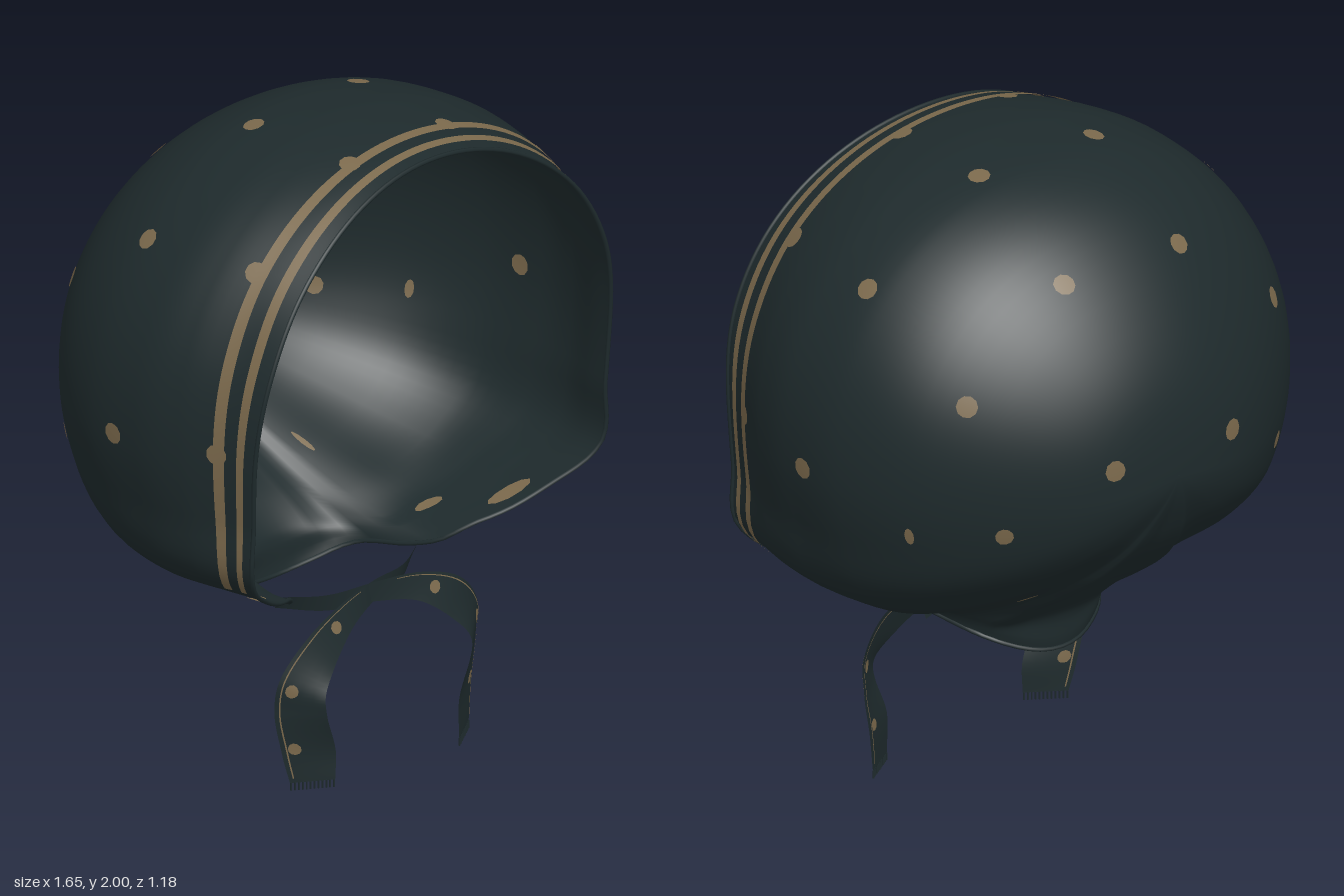
import * as THREE from 'three';

const { DoubleSide } = THREE;
const { lerp, clamp, degToRad, radToDeg, smoothstep } = THREE.MathUtils;
const cloth = new THREE.MeshStandardMaterial({ color: 0x1e2a2c, side: DoubleSide });
cloth.name = 'dark green cloth';
const tan = new THREE.MeshStandardMaterial({ color: 0x7b694c, side: DoubleSide });
tan.name = 'tan print';

const AXIS_Y = 1.2;

// Smooth interpolation through keyed values
function smooth(keys, vals, x, flatEnds = false) {
  const n = keys.length;
  let i = 0;
  while (i < n - 2 && x > keys[i + 1]) i++;
  const slope = (k) => {
    if (flatEnds && (k === 0 || k === n - 1)) return 0;
    const a = Math.max(k - 1, 0), b = Math.min(k + 1, n - 1);
    return (vals[b] - vals[a]) / (keys[b] - keys[a]);
  };
  const h = keys[i + 1] - keys[i], t = (x - keys[i]) / h;
  const t2 = t * t, t3 = t2 * t;
  return (2 * t3 - 3 * t2 + 1) * vals[i] + (t3 - 2 * t2 + t) * h * slope(i)
    + (3 * t2 - 2 * t3) * vals[i + 1] + (t3 - t2) * h * slope(i + 1);
}

// Front half of each bonnet meridian: angle, radii, depths
const MERIDIANS = [
  [-90, [.73, .70, .64, .60, .55], [-.06, -.065, -.07, -.09, -.14]],
  [-80, [.73, .70, .65, .61, .56], [-.03, -.04, -.05, -.08, -.135]],
  [-71, [.70, .685, .665, .635, .585], [.06, .04, .01, -.04, -.11]],
  [-66, [.685, .68, .67, .655, .61], [.25, .20, .14, .07, -.03]],
  [-56, [.68, .685, .69, .685, .64], [.36, .29, .20, .09, -.02]],
  [-40, [.738, .745, .755, .76, .73], [.46, .38, .27, .13, -.02]],
  [-27, [.787, .797, .82, .825, .79], [.54, .46, .33, .18, -.02]],
  [-14, [.73, .75, .795, .81, .79], [.55, .465, .33, .18, -.025]],
  [0, [.715, .74, .795, .82, .80], [.56, .47, .33, .18, -.03]],
  [24, [.735, .765, .82, .845, .815], [.585, .475, .33, .18, -.03]],
  [45, [.75, .785, .825, .84, .81], [.58, .47, .33, .18, -.03]],
  [90, [.75, .775, .795, .80, .77], [.545, .45, .32, .17, -.05]],
];
// Back half: every meridian rounds in to the shared pole, more gradually at the nape
const POLE_Z = -.585;
for (const [angle, radii, depths] of MERIDIANS) {
  const k = clamp((angle + 90) / 75, 0, 1), r = radii[4], z = depths[4];
  radii.push(r * .865, r * lerp(.65, .617, k), r * lerp(.36, .325, k), 0);
  for (const f of [lerp(.2, .377, k), lerp(.54, .715, k), lerp(.83, .935, k), 1]) depths.push(lerp(z, POLE_Z, f));
  radii.push(-radii[7]);
  depths.push(depths[7]);
}
const ANGLES = MERIDIANS.map((m) => m[0]);
const STEPS = MERIDIANS[0][1].map((_, i) => i);

// u runs round the rim from the nape, v from rim (0) to back pole (8)
function bonnet(u, v) {
  const th = degToRad(270 - 360 * u);
  const phi = radToDeg(Math.asin(clamp(Math.sin(th), -1, 1)));
  let r = smooth(ANGLES, MERIDIANS.map((m) => smooth(STEPS, m[1], v)), phi, true);
  const z = smooth(ANGLES, MERIDIANS.map((m) => smooth(STEPS, m[2], v)), phi, true);
  // Gathers above the nape
  const gather = smoothstep(-Math.sin(th), .65, .95) * Math.max(0, 1 - v / 6);
  r += .006 * gather * Math.cos(16 * th);
  return new THREE.Vector3(r * Math.cos(th), AXIS_Y + r * Math.sin(th), z);
}

function derivatives(surf, u, v) {
  const e = 1e-3;
  const du = surf(u + e, v).sub(surf(u - e, v)).divideScalar(2 * e);
  const dv = surf(u, v + e).sub(surf(u, v - e)).divideScalar(2 * e);
  return { du, dv, normal: new THREE.Vector3().crossVectors(du, dv).normalize() };
}

function build(name, material, pos, nor, idx) {
  const g = new THREE.BufferGeometry();
  g.setAttribute('position', new THREE.Float32BufferAttribute(pos, 3));
  g.setAttribute('normal', new THREE.Float32BufferAttribute(nor, 3));
  g.setIndex(idx);
  const mesh = new THREE.Mesh(g, material);
  mesh.name = name;
  return mesh;
}

// Rectangular piece of a surface, lifted along its normal
function patch(name, material, surf, [u0, u1, nu], [v0, v1, nv], lift = 0) {
  const pos = [], nor = [], idx = [];
  for (let j = 0; j <= nv; j++) {
    for (let i = 0; i <= nu; i++) {
      const u = u0 + (u1 - u0) * i / nu, v = v0 + (v1 - v0) * j / nv;
      const { normal } = derivatives(surf, u, v);
      pos.push(...surf(u, v).addScaledVector(normal, lift));
      nor.push(...normal);
      if (i < nu && j < nv) {
        const a = j * (nu + 1) + i, c = a + nu + 1;
        idx.push(a, a + 1, c + 1, a, c + 1, c);
      }
    }
  }
  return build(name, material, pos, nor, idx);
}

// Oval printed spot that follows a surface, with radii along u and v
function dot(name, surf, u, v, ru, rv, lift) {
  const { du, dv } = derivatives(surf, u, v);
  const pos = [], nor = [], idx = [], N = 10;
  for (let k = 0; k <= N; k++) {
    const a = k * Math.PI * 2 / N, r = k === N ? 0 : 1;
    const pu = u + r * ru * Math.cos(a) / du.length(), pv = v + r * rv * Math.sin(a) / dv.length();
    const { normal } = derivatives(surf, pu, pv);
    pos.push(...surf(pu, pv).addScaledVector(normal, lift));
    nor.push(...normal);
    if (k < N) idx.push(N, k, (k + 1) % N);
  }
  return build(name, tan, pos, nor, idx);
}

// Tie: centre points and half-width vectors, ending at height drop
function makeTie(s, drop) {
  const curve = (points) => new THREE.CatmullRomCurve3(points.map(([x, y, z]) => new THREE.Vector3(s * x, y, z)));
  const centre = curve([
    [-.28, .555, .22], [-.15, .535, .29], [0, .54, .335 + s * .006], [.15, .515, .365],
    [.27, .45, .385], [.345, .36, .385], [.348, .28, .38], [.315, .15, .38], [.305, drop, .385],
  ]);
  const half = curve([
    [0, .02, .012], [0, .026, .005], [.005, .03, 0], [.018, .036, -.01],
    [.038, .045, -.02], [.054, .026, -.04], [.058, .005, -.048], [.066, 0, -.042], [.055, 0, -.036],
  ]);
  const ribbon = (u, v) => {
    const t = clamp(u, 0, 1);
    return centre.getPoint(t).addScaledVector(half.getPoint(t), v);
  };
  const tie = new THREE.Group();
  tie.name = (s > 0 ? 'left' : 'right') + 'Tie';
  tie.add(patch('tieRibbon', cloth, ribbon, [0, 1, 48], [-1, 1, 4]));
  for (const lift of [.003, -.003]) {
    tie.add(patch('tieStitch', tan, ribbon, [.3, .98, 36], [.77, .83, 1], lift));
    for (const [u, v] of [[.42, .1], [.65, .4], [.86, .5]]) {
      tie.add(dot('tieSpot', ribbon, u, v, .02, .02, lift));
    }
  }
  // Frayed end
  for (let k = 0; k < 12; k++) {
    const strand = new THREE.Mesh(new THREE.BoxGeometry(.004, .024, .004), cloth);
    strand.name = 'fringeStrand';
    strand.position.copy(ribbon(1, -.95 + 1.9 * k / 11)).y -= .011;
    tie.add(strand);
  }
  return tie;
}

export function createModel() {
  const model = new THREE.Group();
  model.name = 'bonnet';
  model.add(patch('bonnetShell', cloth, bonnet, [0, 1, 144], [0, 7.995, 40]));

  // Rolled hem round the opening
  const rim = [];
  for (let i = 0; i < 96; i++) rim.push(bonnet(i / 96, 0));
  const hem = new THREE.Mesh(
    new THREE.TubeGeometry(new THREE.CatmullRomCurve3(rim, true), 144, .007, 6, true), cloth);
  hem.name = 'hem';
  model.add(hem);

  // Two border stripes along the face edge, ending at the jaw corners
  for (const [a, b] of [[.4, .67], [1.03, 1.28]]) {
    model.add(patch('borderStripe', tan, bonnet, [.165, .835, 96], [a, b, 2], .005));
  }

  // Printed spots, mirrored, on both faces of the cloth: position, then radii along and across the rim
  const R = .032;
  const spots = [
    [.21, 1.77, -.33, R, R], [.21, 1.97, .055, R, R], [.62, 1.74, .05, R, R], [.56, 1.49, -.31, R, R],
    [.21, 1.27, -.55, R, R], [.48, 1.1, -.39, .027, .027], [.66, 1.09, -.2, .028, .014], [.81, 1.22, .1, R, R],
    [.57, 1.74, .43, R, R], [.19, 1.95, .42, R, R], [.74, 1.24, .44, R, R],
    [.5, .7, .36, .07, .03], [.37, .65, .16, .045, .022], [.25, .75, -.2, .009, .045],
  ];
  for (const [x, y, z, ru, rv] of spots) {
    for (const s of [1, -1]) {
      const target = new THREE.Vector3(s * x, y, z);
      let deg = radToDeg(Math.atan2(y - AXIS_Y, s * x));
      if (deg < -90) deg += 360;
      const u = (270 - deg) / 360;
      let best = 0, dist = Infinity;
      for (let v = .4; v < 7.6; v += .05) {
        const d = bonnet(u, v).distanceTo(target);
        if (d < dist) { dist = d; best = v; }
      }
      model.add(dot('spotOutside', bonnet, u, best, ru, rv, .004));
      if (z < .4) model.add(dot('spotInside', bonnet, u, best, ru, rv, -.004));
    }
  }

  model.add(makeTie(1, .024), makeTie(-1, .058));
  return model;
}
